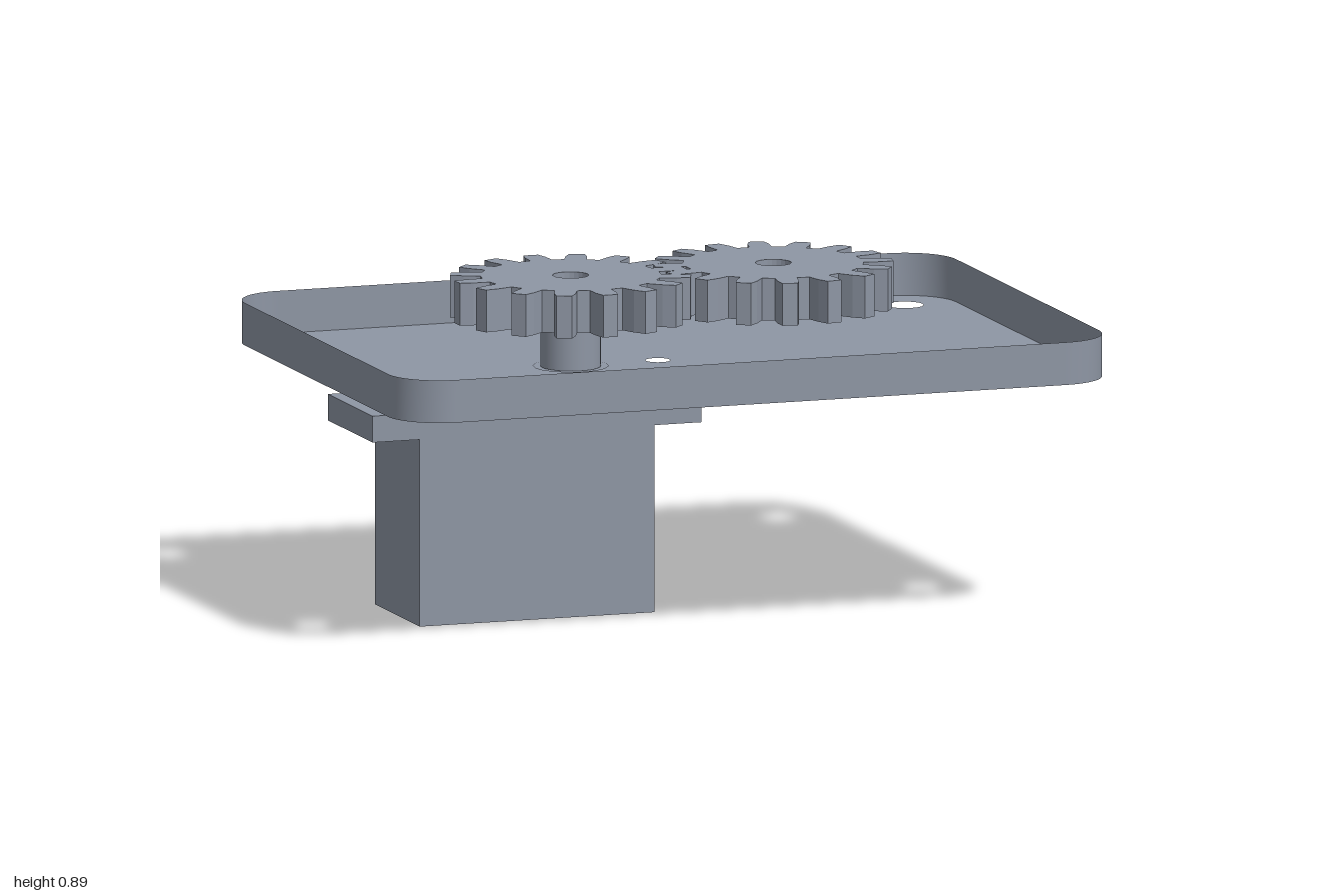
import * as THREE from 'three';

const steel = new THREE.MeshStandardMaterial({ color: 0x8e96a4, side: THREE.DoubleSide });
steel.name = 'steel grey';

const FLOOR = 0.645, RIM = 0.76;
const SERVO_X = -0.4425, GEAR_X = 0.285;

function add(group, name, geometry, x = 0, y = 0, z = 0) {
  const mesh = new THREE.Mesh(geometry, steel);
  mesh.name = name;
  mesh.position.set(x, y, z);
  group.add(mesh);
  return mesh;
}

function circle(x, y, r) {
  return new THREE.Path().absarc(x, y, r, 0, Math.PI * 2, true);
}

// Rounded rectangle seen from above
function trayOutline(w, d, r) {
  const s = new THREE.Shape();
  const corners = [[1, 1], [-1, 1], [-1, -1], [1, -1]];
  corners.forEach(([sx, sy], i) => {
    const a = i * Math.PI / 2;
    s.absarc(sx * (w - r), sy * (d - r), r, a, a + Math.PI / 2, false);
  });
  s.closePath();
  return s;
}

// Thin upright wall that follows a closed outline
function wallGeometry(points, bottom, top) {
  const n = points.length;
  const geo = new THREE.PlaneGeometry(1, 1, n, 1);
  const pos = geo.attributes.position;
  for (let i = 0; i <= n; i++) {
    const p = points[i % n];
    pos.setXYZ(i, p.x, top, -p.y);
    pos.setXYZ(n + 1 + i, p.x, bottom, -p.y);
  }
  geo.computeVertexNormals();
  return geo;
}

// Spur gear with straight-flanked teeth and a round bore
function gearGeometry(teeth, phase, height) {
  const step = Math.PI * 2 / teeth;
  const profile = [[0.24, -0.125], [0.285, -0.1], [0.32, -0.065],
    [0.32, 0.065], [0.285, 0.1], [0.24, 0.125]];
  const pts = [];
  for (let i = 0; i < teeth; i++) {
    for (const [r, da] of profile) {
      const a = (i + phase) * step + da;
      pts.push(new THREE.Vector2(r * Math.cos(a), r * Math.sin(a)));
    }
  }
  const shape = new THREE.Shape(pts);
  shape.holes.push(circle(0, 0, 0.048));
  const geo = new THREE.ExtrudeGeometry(shape, { depth: height, bevelEnabled: false, curveSegments: 12 });
  return geo.rotateX(-Math.PI / 2);
}

export function createModel() {
  const model = new THREE.Group();
  model.name = 'gearTray';

  // Open tray: thin floor with mounting holes and a rounded wall
  const tray = new THREE.Group();
  tray.name = 'tray';
  model.add(tray);
  const outline = trayOutline(1, 0.715, 0.143);
  const rim = outline.getPoints(8);
  if (rim[0].distanceTo(rim[rim.length - 1]) < 1e-5) rim.pop();
  add(tray, 'trayWall', wallGeometry(rim, FLOOR, RIM));

  for (const sx of [-1, 1]) {
    for (const sz of [-1, 1]) outline.holes.push(circle(sx * 0.857, sz * 0.572, 0.05));
    outline.holes.push(circle(SERVO_X + sx * 0.403, 0, 0.033));
  }
  outline.holes.push(circle(-GEAR_X, 0, 0.1));
  add(tray, 'trayFloor', new THREE.ShapeGeometry(outline, 8).rotateX(-Math.PI / 2), 0, FLOOR, 0);

  // Servo body, mounting tabs and output boss below the driving gear
  const servo = new THREE.Group();
  servo.name = 'servo';
  model.add(servo);
  const bodyTop = FLOOR - 0.002;
  add(servo, 'servoBody', new THREE.BoxGeometry(0.66, bodyTop, 0.356), SERVO_X, bodyTop / 2, 0);
  for (const s of [-1, 1]) {
    add(servo, s < 0 ? 'rightTab' : 'leftTab', new THREE.BoxGeometry(0.133, 0.071, 0.356),
      SERVO_X + s * 0.3965, 0.5395, 0);
  }
  add(servo, 'outputBoss', new THREE.CylinderGeometry(0.08, 0.08, 0.112, 24), -GEAR_X, FLOOR + 0.055, 0);

  // Meshing gears, the second turned by half a tooth
  add(model, 'drivingGear', gearGeometry(16, 0, 0.114), -GEAR_X, 0.775, 0);
  add(model, 'drivenGear', gearGeometry(16, 0.5, 0.114), GEAR_X, 0.775, 0);

  return model;
}
